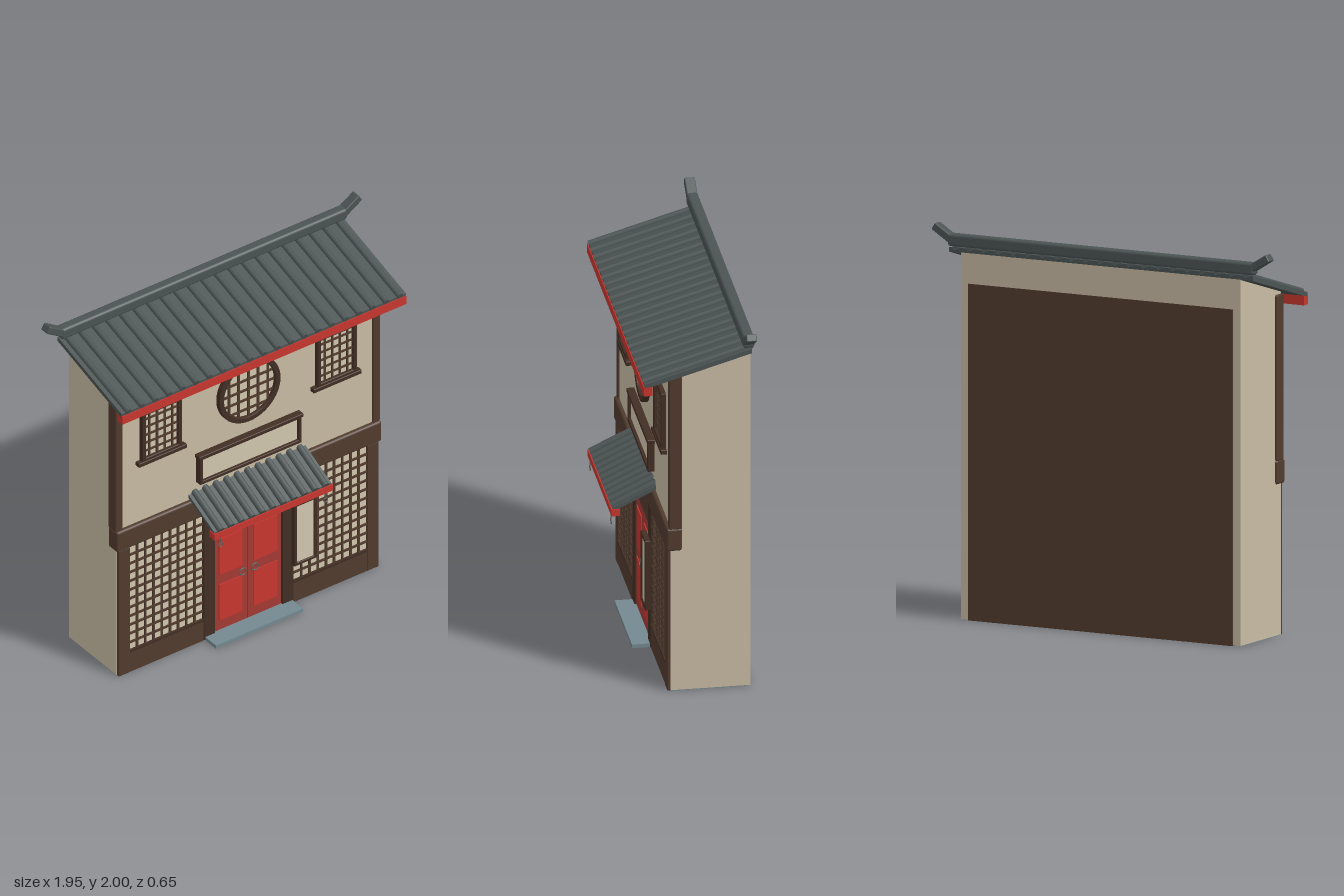
import * as THREE from 'three';
import { RoundedBoxGeometry } from 'three/addons/geometries/RoundedBoxGeometry.js';

const mat = (name, color) => Object.assign(new THREE.MeshStandardMaterial({ color }), { name });

export function createModel() {
  const M = {
    plaster: mat('plaster', 0xc8bba3),
    paper: mat('window paper', 0xd2c7af),
    wood: mat('wood', 0x513b2e),
    dark: mat('dark wood', 0x422e24),
    tile: mat('roof tile', 0x4b5453),
    red: mat('red paint', 0xc8362e),
    deepRed: mat('deep red paint', 0xa33a34),
    stone: mat('stone', 0x748991),
    metal: mat('metal', 0x66625c),
  };
  const root = new THREE.Group();
  root.name = 'shopHouse';

  const add = (name, geo, m, parent = root) => {
    const mesh = new THREE.Mesh(geo, m);
    mesh.name = name;
    parent.add(mesh);
    return mesh;
  };
  // Box given by its limits on each axis; r rounds the edges
  const box = (name, m, x0, x1, y0, y1, z0, z1, parent = root, r = 0) => {
    const s = [x1 - x0, y1 - y0, z1 - z0];
    const g = r ? new RoundedBoxGeometry(...s, 2, r) : new THREE.BoxGeometry(...s);
    g.translate((x0 + x1) / 2, (y0 + y1) / 2, (z0 + z1) / 2);
    return add(name, g, m, parent);
  };
  // Side profile of [z, y] points stretched across x
  const profile = (name, m, pts, half, parent = root) => {
    const shape = new THREE.Shape(pts.map(([z, y]) => new THREE.Vector2(z, y)));
    const g = new THREE.ExtrudeGeometry(shape, { depth: half * 2, bevelEnabled: false });
    g.rotateY(-Math.PI / 2).translate(half, 0, 0);
    return add(name, g, m, parent);
  };
  const group = (name) => {
    const g = new THREE.Group();
    g.name = name;
    root.add(g);
    return g;
  };
  // Rectangular frame of four bars
  const frame = (m, x0, x1, y0, y1, z0, z1, t, parent) => {
    box('frameBottom', m, x0, x1, y0, y0 + t, z0, z1, parent, 0.004);
    box('frameTop', m, x0, x1, y1 - t, y1, z0, z1, parent, 0.004);
    box('frameSide', m, x0, x0 + t, y0, y1, z0, z1, parent, 0.004);
    box('frameSide', m, x1 - t, x1, y0, y1, z0, z1, parent, 0.004);
  };
  // Paper pane with crossing bars
  const lattice = (x0, x1, y0, y1, z, nx, ny, t, parent) => {
    box('pane', M.paper, x0, x1, y0, y1, z - 0.008, z, parent);
    for (let i = 1; i < nx; i++) {
      const x = x0 + ((x1 - x0) * i) / nx;
      box('uprightBar', M.wood, x - t / 2, x + t / 2, y0, y1, z, z + 0.008, parent);
    }
    for (let i = 1; i < ny; i++) {
      const y = y0 + ((y1 - y0) * i) / ny;
      box('crossBar', M.wood, x0, x1, y - t / 2, y + t / 2, z, z + 0.007, parent);
    }
  };
  // Sloping slab with rows of round tiles
  const roof = (name, eave, ridge, half, thick, count, step, radius) => {
    const g = group(name);
    const [ez, ey] = eave, [rz, ry] = ridge;
    profile('roofSlab', M.tile, [[rz, ry - thick], [ez, ey - thick], [ez, ey], [rz, ry]], half, g);
    const len = Math.hypot(rz - ez, ry - ey);
    const geo = new THREE.CylinderGeometry(radius, radius, len + 0.01, 10);
    for (let i = 0; i < count; i++) {
      const t = add('tileRoll', geo, M.tile, g);
      t.position.set((i - (count - 1) / 2) * step, (ey + ry) / 2 + 0.002, (ez + rz) / 2);
      t.rotation.x = Math.atan2(rz - ez, ry - ey);
    }
    return g;
  };

  // Walls, floor and back panel
  profile('walls', M.plaster, [[-0.312, 0.004], [0.092, 0.004], [0.092, 1.745], [-0.312, 1.865]], 0.808);
  box('floor', M.stone, -0.806, 0.806, 0, 0.004, -0.29, 0.092);
  box('backPanel', M.wood, -0.765, 0.765, 0, 1.71, -0.316, -0.29);
  box('doorStep', M.stone, -0.27, 0.27, 0, 0.02, 0.08, 0.2);

  // Main roof with ridge and upturned ends
  const main = roof('mainRoof', [0.235, 1.727], [-0.31, 1.887], 0.88, 0.024, 21, 0.084, 0.017);
  box('eaveBoard', M.red, -0.88, 0.88, 1.665, 1.714, 0.197, 0.24, main);
  box('ridge', M.tile, -0.885, 0.885, 1.892, 1.955, -0.322, -0.264, main, 0.014);
  for (const s of [-1, 1]) {
    const horn = add('ridgeHorn', new RoundedBoxGeometry(0.115, 0.04, 0.054, 2, 0.006), M.tile, main);
    horn.position.set(s * 0.918, 1.957, -0.293);
    horn.rotation.z = s * 0.56;
  }

  // Canopy over the door, with hanging hooks
  const canopy = roof('canopy', [0.312, 0.822], [0.09, 0.928], 0.362, 0.02, 11, 0.065, 0.019);
  box('canopyBoard', M.red, -0.367, 0.367, 0.778, 0.815, 0.277, 0.32, canopy);
  for (const s of [-1, 1]) {
    box('hookRod', M.metal, s * 0.325 - 0.003, s * 0.325 + 0.003, 0.748, 0.78, 0.312, 0.318, canopy);
    const ring = add('hookRing', new THREE.TorusGeometry(0.012, 0.003, 6, 16), M.metal, canopy);
    ring.position.set(s * 0.325, 0.734, 0.315);
  }

  // Timber frame
  box('floorBeam', M.wood, -0.82, 0.82, 0.772, 0.895, 0.035, 0.115, root, 0.012);
  box('lintel', M.wood, -0.21, 0.21, 0.645, 0.775, 0.085, 0.103);
  for (const s of [-1, 1]) {
    const span = (a, b) => (s > 0 ? [a, b] : [-b, -a]);
    box('upperPillar', M.wood, ...span(0.775, 0.82), 0.89, 1.735, 0.035, 0.102, root, 0.008);
    box('lowerPillar', M.wood, ...span(0.735, 0.806), 0, 0.775, 0.085, 0.109, root, 0.006);
    box('doorPost', M.dark, ...span(0.208, 0.28), 0, 0.775, 0.085, 0.109, root, 0.006);

    // Shopfront lattice and its base panel
    const shop = group('shopWindow');
    lattice(...span(0.28, 0.737), 0.125, 0.772, 0.096, 9, 12, 0.012, shop);
    box('basePanel', M.wood, ...span(0.28, 0.737), 0, 0.127, 0.085, 0.105, shop);
    box('baseRail', M.dark, ...span(0.28, 0.737), 0.12, 0.134, 0.085, 0.109, shop);

    // Upper square window
    const win = group('upperWindow');
    lattice(...span(0.425, 0.66), 1.275, 1.565, 0.1, 5, 6, 0.01, win);
    frame(M.dark, ...span(0.42, 0.665), 1.265, 1.572, 0.09, 0.118, 0.022, win);
    box('sill', M.dark, ...span(0.392, 0.69), 1.248, 1.272, 0.09, 0.123, win, 0.004);

    // Door leaf with two raised panels and a ring handle
    const leaf = group('doorLeaf');
    box('leafBoard', M.deepRed, ...span(0.002, 0.206), 0.02, 0.648, 0.085, 0.099, leaf);
    for (const y of [0.08, 0.36]) {
      box('leafPanel', M.red, ...span(0.035, 0.18), y, y + 0.22, 0.099, 0.104, leaf);
    }
    const ring = add('doorRing', new THREE.TorusGeometry(0.02, 0.004, 6, 20), M.metal, leaf);
    ring.position.set(s * 0.038, 0.325, 0.108);
  }
  box('doorGap', M.dark, -0.002, 0.002, 0.02, 0.645, 0.085, 0.098);

  // Round window
  const round = group('roundWindow');
  const R = 0.17, cy = 1.435;
  const pane = add('roundPane', new THREE.CylinderGeometry(R, R, 0.01, 40), M.paper, round);
  pane.rotation.x = Math.PI / 2;
  pane.position.set(0, cy, 0.095);
  for (let i = -2; i <= 2; i++) {
    const p = i * 0.06, h = Math.sqrt(R * R - p * p);
    box('uprightBar', M.wood, p - 0.006, p + 0.006, cy - h, cy + h, 0.099, 0.108, round);
    box('crossBar', M.wood, -h, h, cy + p - 0.006, cy + p + 0.006, 0.099, 0.107, round);
  }
  const disc = new THREE.Shape().absarc(0, 0, 0.186, 0, Math.PI * 2);
  disc.holes.push(new THREE.Path().absarc(0, 0, 0.164, 0, Math.PI * 2, true));
  const rim = new THREE.ExtrudeGeometry(disc, {
    depth: 0.024, bevelThickness: 0.004, bevelSize: 0.004, bevelSegments: 2, curveSegments: 40,
  });
  add('roundFrame', rim, M.dark, round).position.set(0, cy, 0.092);

  // Blank name board above the canopy
  const board = group('nameBoard');
  box('boardFace', M.paper, -0.31, 0.31, 0.995, 1.15, 0.09, 0.112, board);
  frame(M.dark, -0.315, 0.315, 0.985, 1.155, 0.09, 0.128, 0.02, board);
  box('boardCap', M.dark, -0.323, 0.323, 1.142, 1.162, 0.09, 0.132, board, 0.004);

  // Blank hanging sign beside the door
  const sign = group('hangingSign');
  box('signFace', M.paper, 0.257, 0.383, 0.265, 0.63, 0.131, 0.147, sign);
  frame(M.dark, 0.25, 0.39, 0.258, 0.64, 0.125, 0.154, 0.018, sign);

  return root;
}
